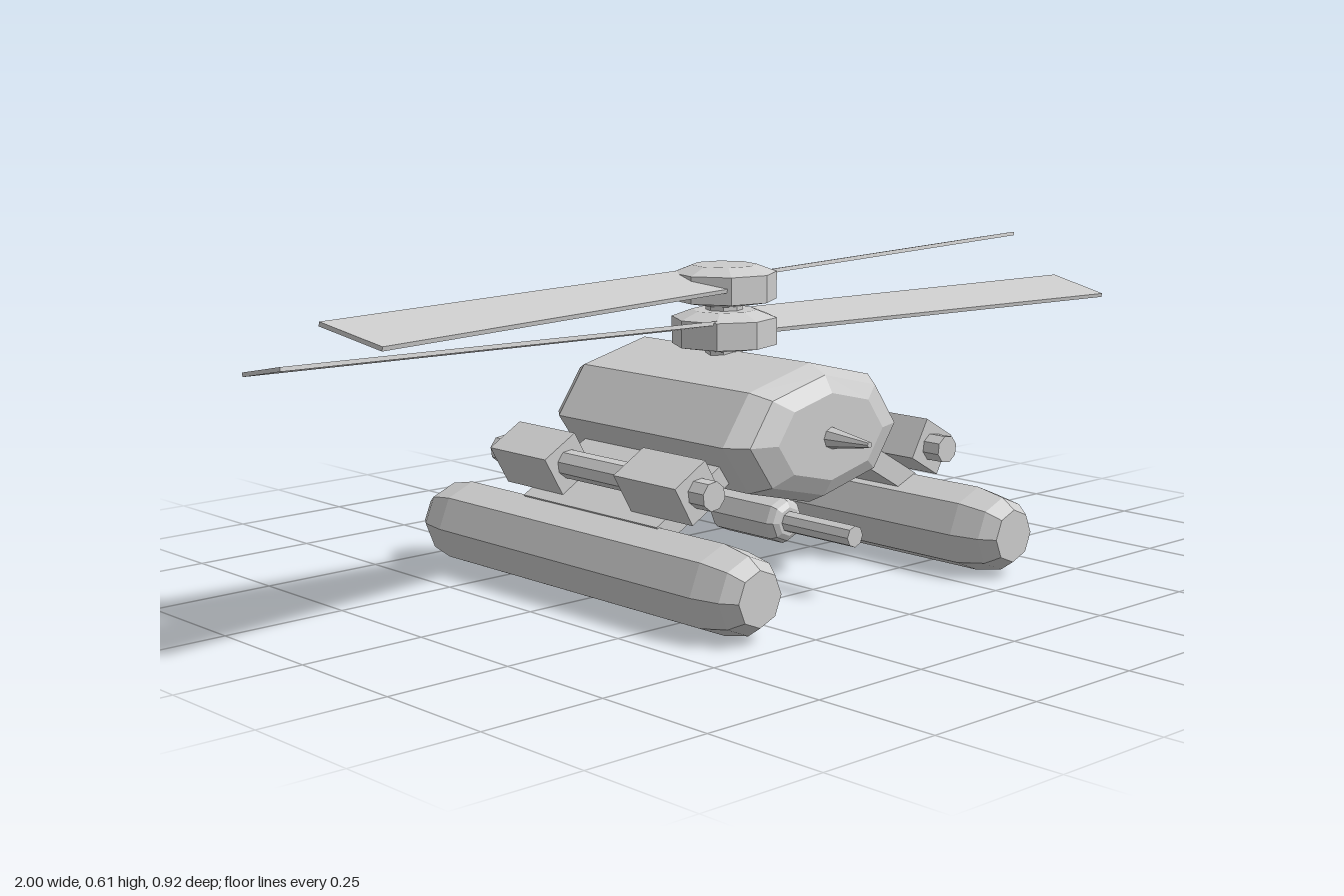
import * as THREE from 'three';

const mat = new THREE.MeshStandardMaterial({ color: 0xcccccc, flatShading: true });

function add(parent, name, geo, x = 0, y = 0, z = 0) {
  const m = new THREE.Mesh(geo, mat);
  m.name = name;
  m.position.set(x, y, z);
  parent.add(m);
  return m;
}

function lathe(points, sides = 8) {
  return new THREE.LatheGeometry(points.map(p => new THREE.Vector2(p[0], p[1])), sides);
}

// Eight-sided capsule along z with bevelled ends, half-sizes rx, ry, rz
function capsule(rx, ry, rz) {
  const g = lathe([[0, -1], [0.62, -1], [0.86, -0.935], [1, -0.8],
    [1, 0.8], [0.86, 0.935], [0.62, 1], [0, 1]]);
  return g.rotateX(Math.PI / 2).scale(rx, ry, rz);
}

// Rod along z from z0 to z1
function rod(r0, r1, z0, z1) {
  return new THREE.CylinderGeometry(r1, r0, z1 - z0, 8).rotateX(Math.PI / 2).translate(0, 0, (z0 + z1) / 2);
}

// Hub with two opposite pitched blades; dir is the turning direction
function rotor(name, y, yaw, dir) {
  const g = new THREE.Group();
  g.name = name;
  g.position.y = y;
  g.rotation.y = yaw;
  add(g, 'hub', lathe([[0, -0.045], [0.037, -0.045], [0.105, -0.033], [0.105, 0.021], [0.065, 0.036], [0, 0.036]]));
  for (const turn of [0, Math.PI]) {
    const geo = new THREE.BoxGeometry(0.98, 0.008, 0.15);
    const p = geo.attributes.position;
    for (let i = 0; i < p.count; i++) if (p.getX(i) < 0) p.setZ(i, p.getZ(i) * 0.9);
    geo.translate(0.51, 0, 0).rotateX(-dir * 0.19).rotateY(turn);
    add(g, 'blade', geo, 0, 0.008, 0);
  }
  return g;
}

export function createModel() {
  const model = new THREE.Group();
  model.name = 'helicopter';

  // Fuselage, nose probe and belly gun
  add(model, 'fuselage', capsule(0.23, 0.136, 0.297), 0, 0.309, 0);
  add(model, 'noseProbe', rod(0.024, 0.006, 0.28, 0.395), 0, 0.307, 0);
  add(model, 'gunBody', capsule(0.046, 0.046, 0.095), 0, 0.125, 0.09);
  add(model, 'gunBarrel', rod(0.021, 0.021, 0.15, 0.36), 0, 0.125, 0);

  // Floats, sloping struts and the side pods resting on them
  for (const s of [1, -1]) {
    add(model, 'float', capsule(0.085, 0.085, 0.46), s * 0.35, 0.086, 0);
    const tilt = -s * Math.PI / 6;
    add(model, 'strut', new THREE.BoxGeometry(0.22, 0.044, 0.39), s * 0.25, 0.208, 0).rotation.z = tilt;
    const pod = new THREE.Group();
    pod.name = 'sidePod';
    pod.position.set(s * 0.32, 0.243, 0);
    pod.rotation.z = tilt;
    for (const z of [0.185, -0.185]) add(pod, 'podBox', new THREE.BoxGeometry(0.086, 0.086, 0.17), 0, 0, z);
    add(pod, 'podTube', rod(0.028, 0.028, -0.31, 0.31));
    model.add(pod);
  }

  // Mast and two counter-turning rotors
  add(model, 'mast', new THREE.CylinderGeometry(0.037, 0.037, 0.14, 8), 0, 0.49, 0);
  model.add(rotor('lowerRotor', 0.489, -0.107, -1));
  model.add(rotor('upperRotor', 0.578, 0.157, 1));
  return model;
}
